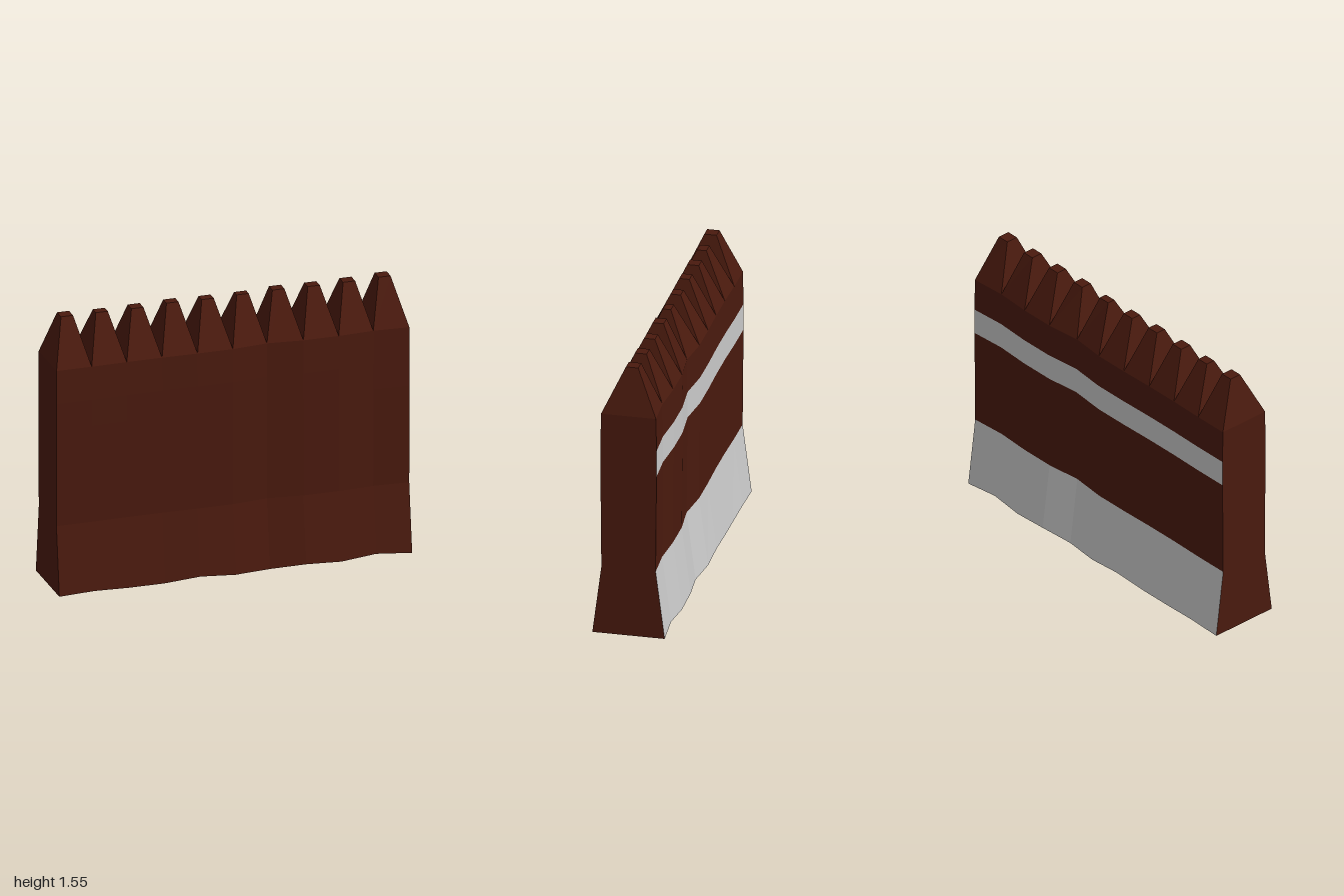
import * as THREE from 'three';

const COUNT = 10;
const STEP = 2 / COUNT;
// Wall courses: height and half depth, from the splayed foot up to the stakes
const COURSES = [[0, 0.2], [0.39, 0.15], [0.95, 0.155], [1.1, 0.155], [1.29, 0.152]];
// Slight irregularities per column line: inward dent and raised foot
const DENT = [0, 0, 0.004, 0.004, 0, 0, 0.021, 0, 0, 0.012, 0];
const LIFT = [0, 0.008, 0, 0, 0.015, 0, 0, 0.01, 0, 0.015, 0];
// Half depth of each blunt stake tip
const TIP = [0.034, 0.026, 0.032, 0.028, 0.028, 0.022, 0.03, 0.03, 0.032, 0.034];

const timber = new THREE.MeshStandardMaterial({ color: 0x4a1a0e, flatShading: true, side: THREE.DoubleSide });
const plain = new THREE.MeshStandardMaterial({ color: 0xcccccc, flatShading: true, side: THREE.DoubleSide });

// Mesh from quads, each with four corners counter-clockwise seen from outside
function quadMesh(name, quads, material) {
  const points = quads.flatMap(([a, b, c, d]) => [a, b, c, a, c, d]).flat();
  const geometry = new THREE.BufferGeometry();
  geometry.setAttribute('position', new THREE.Float32BufferAttribute(points, 3));
  geometry.computeVertexNormals();
  const mesh = new THREE.Mesh(geometry, material);
  mesh.name = name;
  return mesh;
}

// Point on the wall: column line i, course j, side +1 front or -1 back
function wallPoint(i, j, side) {
  const [y, depth] = COURSES[j];
  const lift = j === 0 && side > 0 ? LIFT[i] : j === 0 ? LIFT[i] * 0.9 : 0;
  return [-1 + i * STEP, y + lift, side * (depth - DENT[i])];
}

// One course of the long front or back face
function course(j, side) {
  const quads = [];
  for (let i = 0; i < COUNT; i++) {
    const [l, r] = side > 0 ? [i, i + 1] : [i + 1, i];
    quads.push([wallPoint(l, j, side), wallPoint(r, j, side), wallPoint(r, j + 1, side), wallPoint(l, j + 1, side)]);
  }
  return quads;
}

// Narrow end of the wall, at column line 0 or COUNT
function endFace(i) {
  const near = i === 0 ? -1 : 1;
  return COURSES.slice(1).map((_, j) => [
    wallPoint(i, j, near), wallPoint(i, j, -near), wallPoint(i, j + 1, -near), wallPoint(i, j + 1, near),
  ]);
}

// Four-sided sharpened stake with a blunt tip
function stake(i) {
  const top = COURSES.length - 1;
  const x = -1 + (i + 0.5) * STEP;
  const y = 1.545 + (i % 3 === 0 ? 0.005 : 0);
  const base = [wallPoint(i, top, 1), wallPoint(i + 1, top, 1), wallPoint(i + 1, top, -1), wallPoint(i, top, -1)];
  const tip = [[-1, 1], [1, 1], [1, -1], [-1, -1]].map(([sx, sz]) => [x + sx * 0.034, y, sz * TIP[i] - 0.004]);
  const sides = base.map((p, k) => [p, base[(k + 1) % 4], tip[(k + 1) % 4], tip[k]]);
  return quadMesh('stake', [...sides, tip], timber);
}

export function createModel() {
  const group = new THREE.Group();
  group.name = 'palisadeWall';

  // Hollow wall, open underneath
  group.add(quadMesh('frontFace', [0, 1, 2, 3].flatMap((j) => course(j, 1)), timber));
  group.add(quadMesh('backFace', [1, 3].flatMap((j) => course(j, -1)), timber));
  group.add(quadMesh('backFoot', course(0, -1), plain));
  group.add(quadMesh('backRail', course(2, -1), plain));
  group.add(quadMesh('rightEnd', endFace(0), timber));
  group.add(quadMesh('leftEnd', endFace(COUNT), timber));

  // Row of pointed stakes along the top
  const stakes = new THREE.Group();
  stakes.name = 'stakes';
  for (let i = 0; i < COUNT; i++) stakes.add(stake(i));
  group.add(stakes);

  return group;
}
